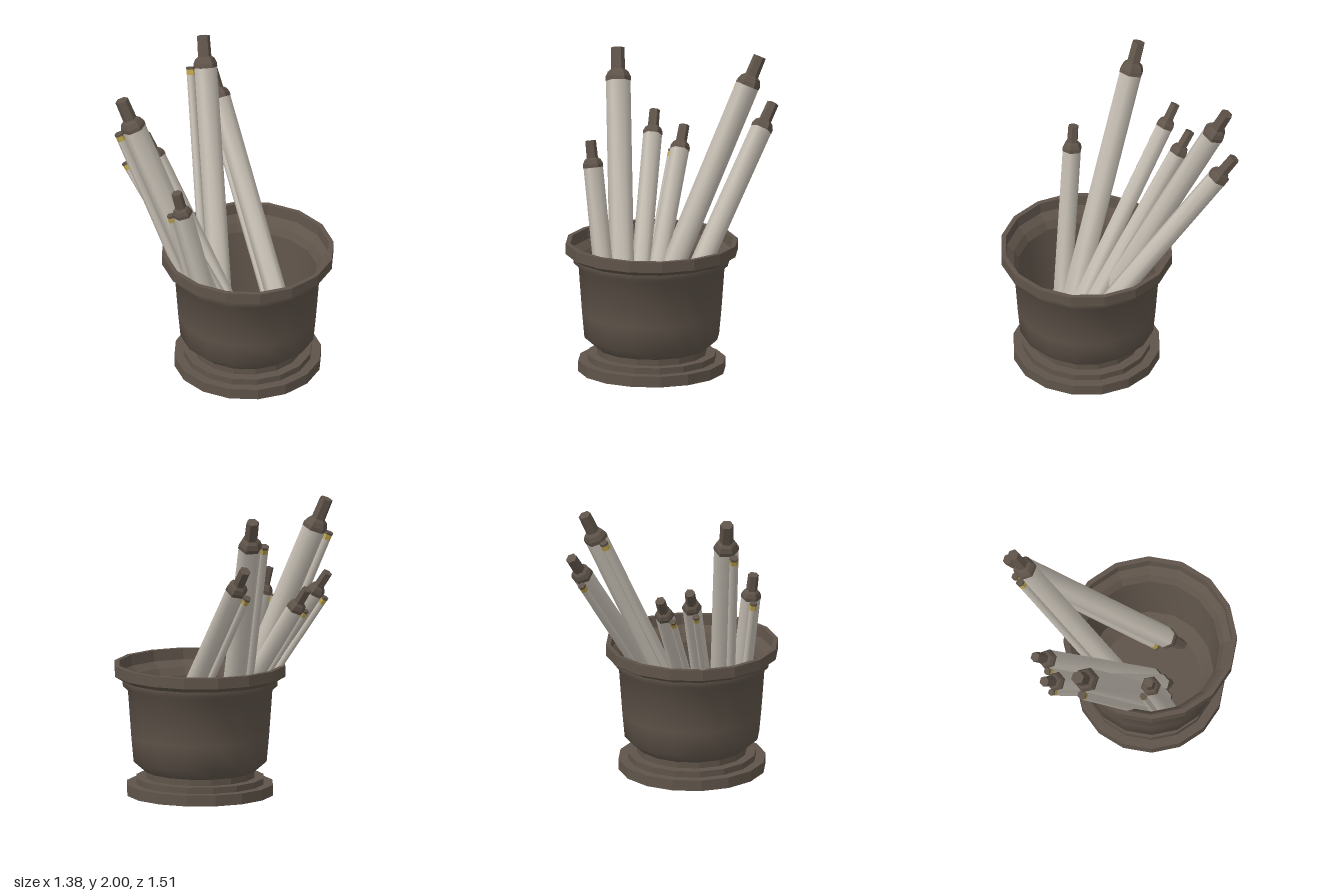
import * as THREE from 'three';
import { toCreasedNormals } from 'three/addons/utils/BufferGeometryUtils.js';

const mat = (name, color, side = THREE.FrontSide) => {
  const m = new THREE.MeshStandardMaterial({ color, side });
  m.name = name;
  return m;
};

// Revolved part: profile is a list of [radius, height], listed upwards on outer faces
function turned(name, profile, sides, material, crease = 0.1, start = 0) {
  const pts = profile.map(([r, y]) => new THREE.Vector2(r, y));
  const geo = toCreasedNormals(new THREE.LatheGeometry(pts, sides, start), crease);
  const mesh = new THREE.Mesh(geo, material);
  mesh.name = name;
  return mesh;
}

export function createModel() {
  const wood = mat('darkWood', 0x5f544a);
  const paper = mat('paper', 0xc4bdb2);
  const gold = mat('gold', 0xb8a04c);
  const model = new THREE.Group();
  model.name = 'scrollPot';

  // Pot: stepped foot, smooth bowl, flat rim and hollow inside
  const pot = new THREE.Group();
  pot.name = 'pot';
  pot.position.set(0.14, 0, 0.21);
  pot.add(
    turned('potFoot', [[0, 0.19], [0.32, 0.19], [0.32, 0.17], [0.37, 0.17], [0.37, 0.14], [0.42, 0.14], [0.43, 0.08],
      [0.47, 0.08], [0.47, 0.15], [0.41, 0.15], [0.41, 0.19], [0.35, 0.19], [0.35, 0.23]], 16, wood),
    turned('potBowl', [[0.35, 0.23], [0.43, 0.3], [0.445, 0.46], [0.467, 0.76], [0.5, 0.79], [0.5, 0.82]], 16, wood, 0.9),
    turned('potRim', [[0.5, 0.82], [0.55, 0.85], [0.55, 0.92], [0.52, 0.92], [0.515, 0.85], [0.47, 0.81], [0.44, 0.76]], 16, wood),
    turned('potInside', [[0.44, 0.76], [0.4, 0.31], [0.32, 0.23], [0, 0.23]], 16, wood, 0.6),
  );
  model.add(pot);

  // Scroll: a main roll with turned handles, and a thin roll beside it with gold bands
  function scroll(name, top, bottom, r, sideAngle) {
    const a = new THREE.Vector3(...top), b = new THREE.Vector3(...bottom);
    const g = new THREE.Group();
    g.name = name;
    const half = a.distanceTo(b) / 2;
    const k = r / 0.073;
    const end = half - 0.19 * k;
    const hex = Math.PI / 2;
    g.add(turned('paperRoll', [[r, -end], [r, end]], 6, paper, 1.2, hex));
    for (const flip of [0, Math.PI]) {
      const handle = turned('handle', [[r * 1.03, end - 0.01], [r * 1.03, end + 0.015 * k], [r * 0.84, end + 0.045 * k],
        [r * 0.58, end + 0.06 * k], [r * 0.55, half], [0, half]], 6, wood, 0.1, hex);
      handle.rotation.x = flip;
      g.add(handle);
    }
    const side = new THREE.Group();
    side.name = 'thinRoll';
    const s = 0.36 * r;
    side.position.set(-Math.cos(sideAngle) * (r + s * 0.8), 0, Math.sin(sideAngle) * (r + s * 0.8));
    side.add(turned('thinPaper', [[s, 0.05 - end], [s, end - 0.05]], 6, paper, 1.2, hex));
    for (const flip of [0, Math.PI]) {
      const band = turned('goldBand', [[s, end - 0.05], [s, end - 0.015]], 6, gold, 0.1, hex);
      const cap = turned('thinCap', [[s * 1.05, end - 0.015], [s * 1.05, end], [0, end]], 6, wood, 0.1, hex);
      band.rotation.x = cap.rotation.x = flip;
      side.add(band, cap);
    }
    g.add(side);
    g.position.copy(a).add(b).multiplyScalar(0.5);
    g.quaternion.setFromUnitVectors(new THREE.Vector3(0, 1, 0), a.sub(b).normalize());
    model.add(g);
  }

  scroll('tallLeaningScroll', [-0.64, 1.985, 0.02], [0.06, 0.12, 0.37], 0.078, 0);
  scroll('tallRearScroll', [-0.018, 1.98, -0.665], [-0.015, 0.14, 0.24], 0.074, 0);
  scroll('rearScroll', [0.045, 1.68, -0.725], [0.41, 0.2, 0.33], 0.068, -0.7);
  scroll('frontScroll', [-0.34, 1.49, 0.385], [0.01, 0.01, 0.41], 0.062, -0.3);
  scroll('sideScroll', [-0.595, 1.555, -0.225], [0.16, 0.17, 0.36], 0.06, -0.2);
  scroll('innerScroll', [-0.435, 1.475, -0.35], [0.17, 0.16, 0.31], 0.06, 0.2);
  return model;
}
